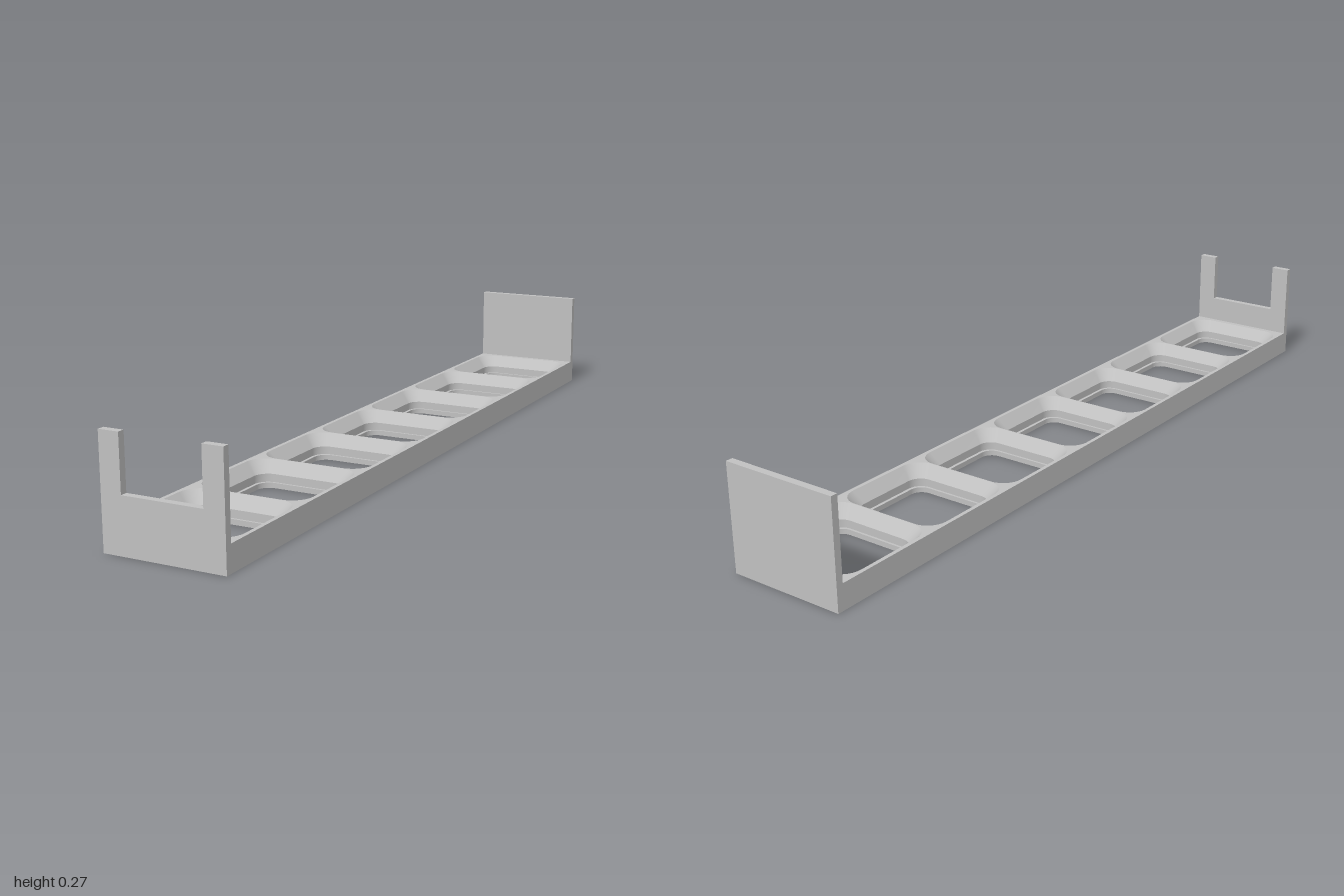
import * as THREE from 'three';

const W = 0.302, H = 0.063, PLATE_T = 0.018, TALL = 0.265;
const COUNT = 7, PITCH = 0.2765, ARC = 8;

// Pocket profile from rim to underside: half width, half length, corner radius, height
const LEVELS = [
  [0.141, 0.1372, 0.05, H],
  [0.115, 0.1125, 0.035, 0.033],
  [0.115, 0.1125, 0.035, 0.013],
  [0.107, 0.1065, 0.03, 0.013],
  [0.107, 0.1065, 0.03, 0],
];

// Rounded rectangle as [x, z] points
function ring([hx, hz, r]) {
  const pts = [];
  [[1, 1], [-1, 1], [-1, -1], [1, -1]].forEach(([sx, sz], q) => {
    for (let i = 0; i <= ARC; i++) {
      const a = (q + i / ARC) * Math.PI / 2;
      pts.push([sx * (hx - r) + r * Math.cos(a), sz * (hz - r) + r * Math.sin(a)]);
    }
  });
  return pts;
}

// Inward-facing wall between two levels
function band(upper, lower) {
  const a = ring(upper), b = ring(lower), n = a.length, pos = [], idx = [];
  for (let i = 0; i < n; i++) {
    pos.push(a[i][0], upper[3], a[i][1], b[i][0], lower[3], b[i][1]);
    const p = 2 * i, q = 2 * ((i + 1) % n);
    idx.push(p, p + 1, q, q, p + 1, q + 1);
  }
  const g = new THREE.BufferGeometry();
  g.setAttribute('position', new THREE.Float32BufferAttribute(pos, 3));
  g.setIndex(idx);
  g.computeVertexNormals();
  return g;
}

// Rectangle pierced by one opening per pocket
function piercedFace(level, centres) {
  const s = new THREE.Shape([[-1, -1], [1, -1], [1, 1], [-1, 1]]
    .map(([x, y]) => new THREE.Vector2(x * W / 2, y)));
  for (const c of centres) {
    s.holes.push(new THREE.Path(ring(level).map(([x, z]) => new THREE.Vector2(x, z + c))));
  }
  return new THREE.ShapeGeometry(s);
}

export function createModel() {
  const model = new THREE.Group();
  model.name = 'socketTray';
  const grey = new THREE.MeshStandardMaterial({ color: 0xc0c0c0 });
  grey.name = 'light grey';
  const add = (name, geometry, parent = model) => {
    const m = new THREE.Mesh(geometry, grey);
    m.name = name;
    parent.add(m);
    return m;
  };
  const centres = Array.from({ length: COUNT }, (_, i) => (i - (COUNT - 1) / 2) * PITCH);

  // Base: four outer sides, top and underside
  const sides = new THREE.BoxGeometry(W, H, 2);
  const index = Array.from(sides.index.array);
  sides.setIndex([...index.slice(0, 12), ...index.slice(24)]);
  sides.clearGroups();
  add('baseSides', sides.translate(0, H / 2, 0));
  add('baseTop', piercedFace(LEVELS[0], centres).rotateX(-Math.PI / 2).translate(0, H, 0));
  add('baseUnderside', piercedFace(LEVELS[4], centres).rotateX(Math.PI / 2));

  // Pockets: sloped rim, straight wall, ledge and through hole
  const names = ['slopedRim', 'pocketWall', 'ledge', 'throughHole'];
  const bands = names.map((_, i) => band(LEVELS[i], LEVELS[i + 1]));
  for (const c of centres) {
    const pocket = new THREE.Group();
    pocket.name = 'pocket';
    pocket.position.z = c;
    bands.forEach((g, i) => add(names[i], g, pocket));
    model.add(pocket);
  }

  // Solid back plate
  add('backPlate', new THREE.BoxGeometry(W, TALL - H, PLATE_T)
    .translate(0, (TALL + H) / 2, -1 + PLATE_T / 2));

  // Front plate with an open notch
  const w = W / 2, n = 0.1, floor = 0.132;
  const outline = new THREE.Shape([
    [-w, H], [w, H], [w, TALL], [n, TALL], [n, floor], [-n, floor], [-n, TALL], [-w, TALL],
  ].map(([x, y]) => new THREE.Vector2(x, y)));
  add('frontPlate', new THREE.ExtrudeGeometry(outline, { depth: PLATE_T, bevelEnabled: false })
    .translate(0, 0, 1 - PLATE_T));

  return model;
}
